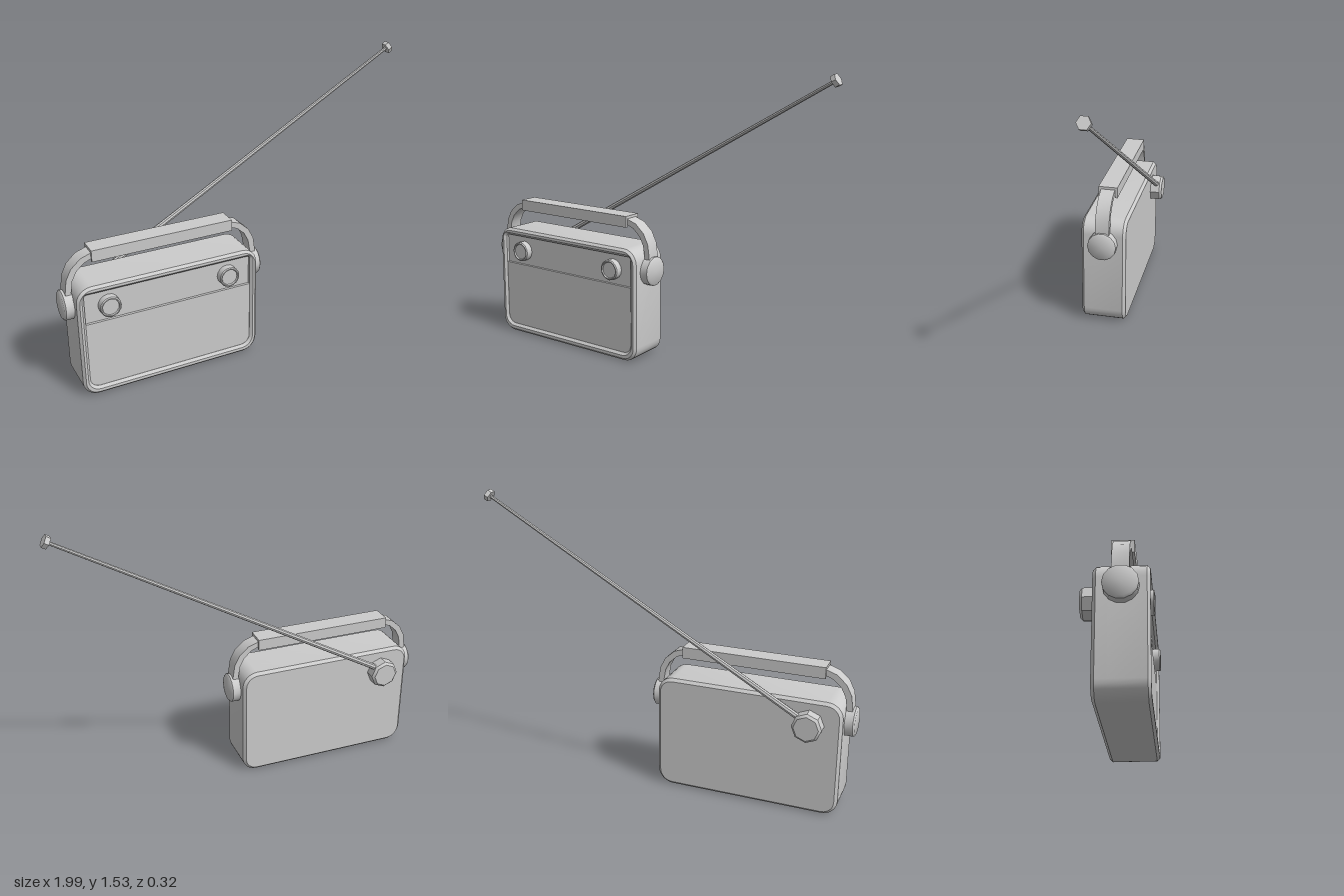
import * as THREE from 'three';
import { toCreasedNormals } from 'three/addons/utils/BufferGeometryUtils.js';

const mat = new THREE.MeshStandardMaterial({ color: 0xcccccc });
const CX = -0.458; // centre line of the radio body

export function createModel() {
  const root = new THREE.Group();

  const add = (name, geo, x = 0, y = 0, z = 0) => {
    const mesh = new THREE.Mesh(toCreasedNormals(geo, 0.7), mat);
    mesh.name = name;
    mesh.position.set(x, y, z);
    root.add(mesh);
    return mesh;
  };

  // rectangle with separate top and bottom corner radii
  const roundedRect = (P, x0, y0, x1, y1, rt, rb) => {
    const p = new P();
    p.moveTo(x0 + rb, y0);
    p.lineTo(x1 - rb, y0);
    p.absarc(x1 - rb, y0 + rb, rb, -Math.PI / 2, 0);
    p.lineTo(x1, y1 - rt);
    p.absarc(x1 - rt, y1 - rt, rt, 0, Math.PI / 2);
    p.lineTo(x0 + rt, y1);
    p.absarc(x0 + rt, y1 - rt, rt, Math.PI / 2, Math.PI);
    p.lineTo(x0, y0 + rb);
    p.absarc(x0 + rb, y0 + rb, rb, Math.PI, Math.PI * 1.5);
    return p;
  };

  // chamfered extrusion between two z planes
  const slab = (shape, z0, z1, b) => {
    const g = new THREE.ExtrudeGeometry(shape, {
      depth: z1 - z0 - 2 * b, curveSegments: 3, bevelEnabled: b > 0,
      bevelThickness: b, bevelSize: b, bevelOffset: -b, bevelSegments: 1,
    });
    return g.translate(0, 0, z0 + b);
  };

  const turned = (pts, sides) =>
    new THREE.LatheGeometry(pts.map(([r, h]) => new THREE.Vector2(r, h)), sides);

  // case: solid back part and a rim standing around the front recess
  const outline = () => roundedRect(THREE.Shape, -0.946, 0, 0.03, 0.613, 0.08, 0.08);
  add('caseBody', slab(outline(), -0.093, 0.122, 0.015));
  const rim = outline();
  rim.holes.push(roundedRect(THREE.Path, -0.908, 0.042, -0.008, 0.573, 0.015, 0.05));
  add('caseRim', slab(rim, -0.04, 0.15, 0.013));

  // speaker panel below the dial strip
  add('speakerPanel', new THREE.BoxGeometry(0.91, 0.37, 0.03), CX, 0.222, 0.121);

  // front dials with a raised lip
  const dial = [[0.055, 0], [0.055, 0.038], [0.05, 0.043], [0.045, 0.043], [0.042, 0.036], [0, 0.036]];
  for (const [name, s] of [['rightDial', -1], ['leftDial', 1]]) {
    add(name, turned(dial, 16), CX + s * 0.323, 0.488, 0.12).rotation.x = Math.PI / 2;
  }

  // pivot discs on both sides
  const pivot = [[0.078, -0.01], [0.078, 0.042], [0.068, 0.05], [0, 0.05]];
  for (const [name, s] of [['rightPivot', -1], ['leftPivot', 1]]) {
    add(name, turned(pivot, 14), CX + s * 0.488, 0.487, 0.028).rotation.z = -s * Math.PI / 2;
  }

  // bent carrying strap, one half mirrored across the centre
  const outer = [[0.518, 0.5], [0.518, 0.565], [0.508, 0.635], [0.48, 0.69], [0.43, 0.735], [0.365, 0.757]];
  const inner = [[0.365, 0.727], [0.415, 0.707], [0.455, 0.67], [0.478, 0.625], [0.488, 0.565], [0.488, 0.5]];
  const flip = (a) => a.map(([x, y]) => [-x, y]).reverse();
  const band = [...outer, ...flip(outer), ...flip(inner), ...inner];
  const strap = new THREE.Shape(band.map(([x, y]) => new THREE.Vector2(x, y)));
  add('handleStrap', slab(strap, -0.01, 0.066, 0), CX);

  // grip: channel that caps the strap, open underneath
  const channel = new THREE.Shape([
    [-0.052, 0.71], [-0.039, 0.71], [-0.039, 0.756], [0.039, 0.756],
    [0.039, 0.71], [0.052, 0.71], [0.052, 0.77], [-0.052, 0.77],
  ].map(([x, y]) => new THREE.Vector2(x, y)));
  add('handleGrip', slab(channel, -0.377, 0.377, 0), CX, 0, 0.027).rotation.y = Math.PI / 2;

  // antenna swivel on the back
  const swivel = [[0.077, -0.01], [0.077, 0.053], [0.064, 0.065], [0, 0.065]];
  add('antennaSwivel', turned(swivel, 8), -0.781, 0.487, -0.093).rotation.x = -Math.PI / 2;

  // tapered antenna rod with a hexagonal tip
  const a = new THREE.Vector3(-0.76, 0.515, -0.124);
  const b = new THREE.Vector3(0.974, 1.502, -0.12);
  const dir = b.clone().sub(a);
  const turn = new THREE.Quaternion().setFromUnitVectors(new THREE.Vector3(0, 1, 0), dir.clone().normalize());
  const mid = a.clone().add(b).multiplyScalar(0.5);
  add('antennaRod', new THREE.CylinderGeometry(0.009, 0.016, dir.length(), 8), ...mid.toArray()).quaternion.copy(turn);
  add('antennaTip', new THREE.CylinderGeometry(0.032, 0.032, 0.024, 6), ...b.toArray()).quaternion.copy(turn);

  return root;
}
